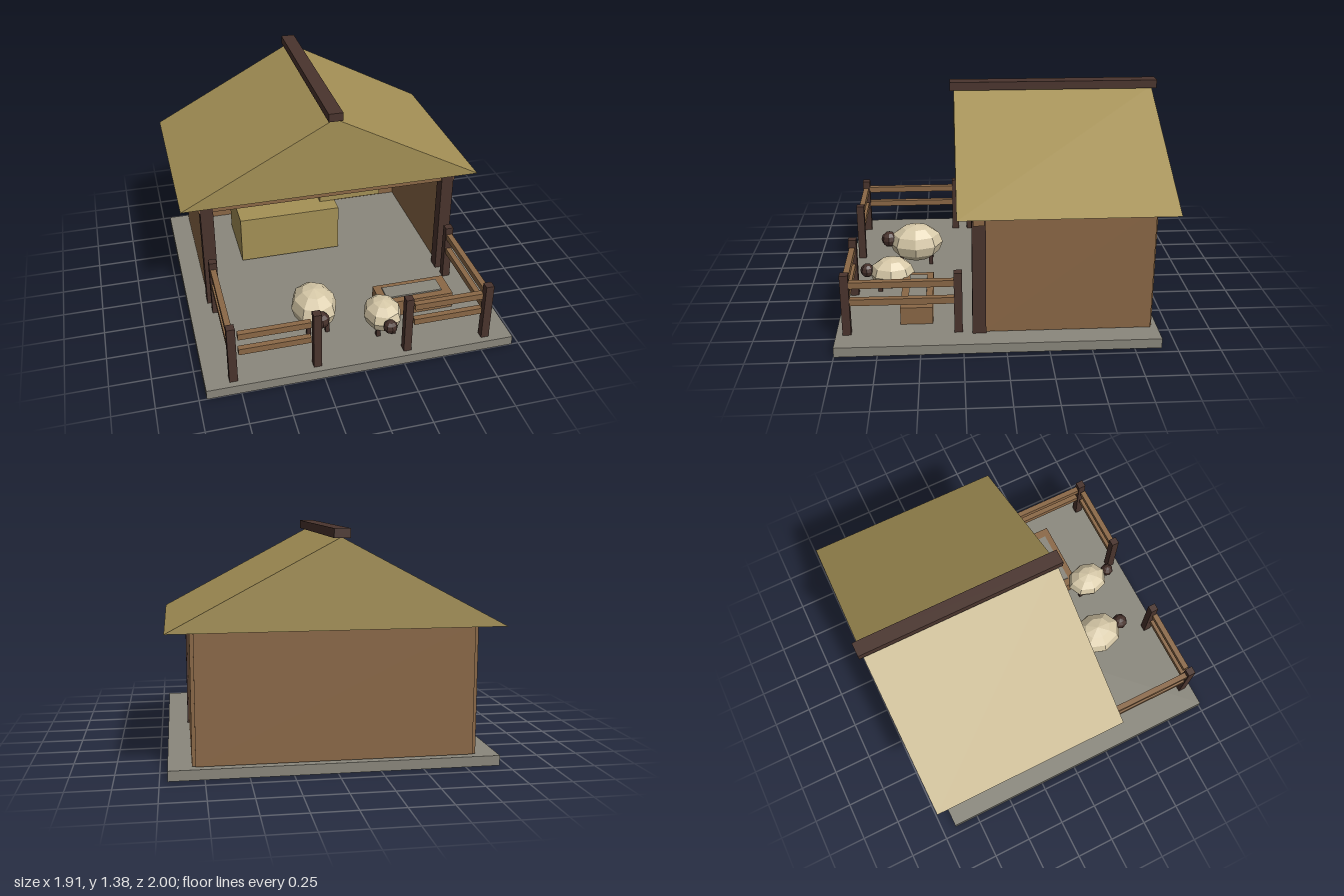
import * as THREE from 'three';

export function createModel() {
  const root = new THREE.Group();
  root.name = 'sheepBarn';

  const mat = (name, color, flatShading = false) => {
    const m = new THREE.MeshStandardMaterial({ color, flatShading });
    m.name = name;
    return m;
  };
  const stone = mat('stone', 0x8b887d);
  const wood = mat('wood', 0x8b6846);
  const darkWood = mat('darkWood', 0x4a342d);
  const straw = mat('straw', 0xa59156);
  const wool = mat('wool', 0xd8caa9, true);
  const face = mat('darkFace', 0x45302a, true);

  // Box given by its minimum and maximum on each axis
  const box = (name, material, x0, x1, y0, y1, z0, z1, parent = root) => {
    const mesh = new THREE.Mesh(new THREE.BoxGeometry(x1 - x0, y1 - y0, z1 - z0), material);
    mesh.position.set((x0 + x1) / 2, (y0 + y1) / 2, (z0 + z1) / 2);
    mesh.name = name;
    parent.add(mesh);
    return mesh;
  };
  // Box mirrored to both sides of x = 0
  const pair = (name, material, x0, x1, ...rest) => {
    box(name + 'Left', material, x0, x1, ...rest);
    box(name + 'Right', material, -x1, -x0, ...rest);
  };

  // Ground slab
  box('groundSlab', stone, -0.955, 0.955, 0, 0.06, -0.91, 1);

  // Barn walls, front posts and lintel beam
  box('backWall', wood, -0.8, 0.8, 0.065, 0.835, -0.875, -0.835);
  pair('sideWall', wood, 0.78, 0.82, 0.065, 0.835, -0.865, 0.13);
  pair('frontPost', darkWood, 0.75, 0.83, 0.06, 0.835, 0.115, 0.195);
  box('lintelBeam', wood, -0.84, 0.84, 0.75, 0.81, 0.122, 0.188);

  // Solid gabled roof
  const gable = new THREE.Shape();
  gable.moveTo(-0.955, 0.83);
  gable.lineTo(0.955, 0.83);
  gable.lineTo(0, 1.337);
  gable.closePath();
  const roof = new THREE.Mesh(
    new THREE.ExtrudeGeometry(gable, { depth: 1.255, bevelEnabled: false }), straw);
  roof.position.z = -0.975;
  roof.name = 'roof';
  root.add(roof);
  box('ridgeBeam', darkWood, -0.045, 0.045, 1.333, 1.385, -1, 0.305);

  // Straw bales
  box('lowerBale', straw, -0.525, 0.165, 0.07, 0.395, -0.68, -0.21);
  box('upperBale', straw, 0.06, 0.495, 0.395, 0.567, -0.66, -0.32);

  // Fence posts and rails
  pair('cornerFencePost', darkWood, 0.762, 0.812, 0.06, 0.445, 0.91, 0.96);
  pair('gateFencePost', darkWood, 0.257, 0.305, 0.06, 0.445, 0.91, 0.96);
  pair('rearFencePost', darkWood, 0.762, 0.812, 0.06, 0.445, 0.253, 0.302);
  for (const y of [0.248, 0.358]) {
    pair('frontRail', wood, 0.317, 0.748, y, y + 0.04, 0.918, 0.954);
    pair('sideRail', wood, 0.77, 0.806, y, y + 0.04, 0.28, 0.93);
  }

  // Feeding trough: a frame with its filling
  const trough = new THREE.Group();
  trough.name = 'trough';
  root.add(trough);
  for (const [z0, z1] of [[0.43, 0.47], [0.58, 0.625]])
    box('troughLongSide', wood, 0.22, 0.7, 0.06, 0.17, z0, z1, trough);
  for (const [x0, x1] of [[0.22, 0.27], [0.64, 0.7]])
    box('troughEnd', wood, x0, x1, 0.06, 0.17, 0.47, 0.58, trough);
  box('troughFilling', stone, 0.27, 0.64, 0.06, 0.18, 0.47, 0.58, trough);

  // Low-poly sheep
  const ball = (name, material, parent, p, r) => {
    const mesh = new THREE.Mesh(new THREE.SphereGeometry(1, 8, 6), material);
    mesh.position.set(...p);
    mesh.scale.set(...r);
    mesh.name = name;
    parent.add(mesh);
  };
  const sheep = (name, x, y, z, r, headY, headZ, headR, legX, legZ) => {
    const g = new THREE.Group();
    g.name = name;
    root.add(g);
    ball('woolBody', wool, g, [x, y, z], r);
    ball('head', face, g, [x, headY, headZ], [headR, headR, headR]);
    for (const sx of [-1, 1])
      for (const sz of [-1, 1]) {
        const lx = x + sx * legX, lz = z + sz * legZ;
        box('leg', face, lx - 0.013, lx + 0.013, 0.06, 0.14, lz - 0.013, lz + 0.013, g);
      }
  };
  sheep('largeSheep', -0.205, 0.2, 0.555, [0.145, 0.128, 0.183], 0.225, 0.74, 0.054, 0.06, 0.1);
  sheep('smallSheep', 0.2, 0.168, 0.7, [0.12, 0.102, 0.145], 0.185, 0.86, 0.045, 0.05, 0.075);

  return root;
}
